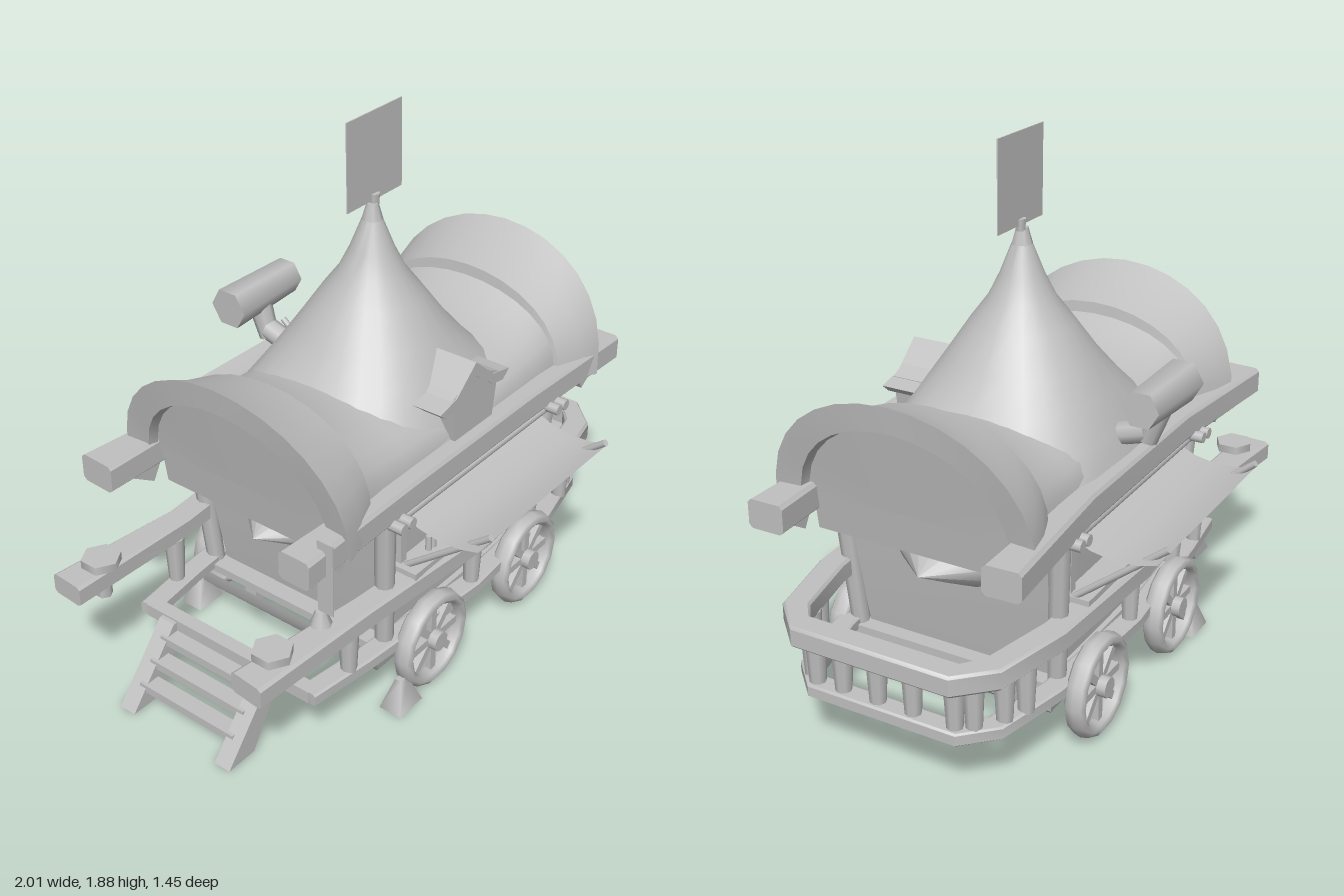
import * as THREE from 'three';
import { toCreasedNormals } from 'three/addons/utils/BufferGeometryUtils.js';

const V = (x, y, z) => new THREE.Vector3(x, y, z);
const CX = 0.075; // middle of the wagon along x

export function createModel() {
  const root = new THREE.Group();
  const grey = new THREE.MeshStandardMaterial({ color: 0xc0c0c0, side: THREE.DoubleSide });
  grey.name = 'clay grey';

  const add = (name, geo, x = 0, y = 0, z = 0, parent = root) => {
    const m = new THREE.Mesh(geo, grey);
    m.name = name;
    m.position.set(x, y, z);
    parent.add(m);
    return m;
  };
  const box = (name, w, h, d, x, y, z) => add(name, new THREE.BoxGeometry(w, h, d), x, y, z);
  // tapered round bar between two points
  const bar = (name, a, b, r0, r1 = r0, sides = 8) => {
    const d = b.clone().sub(a);
    const m = add(name, new THREE.CylinderGeometry(r1, r0, d.length(), sides));
    m.position.copy(a).addScaledVector(d, 0.5);
    m.quaternion.setFromUnitVectors(V(0, 1, 0), d.normalize());
  };
  // skin through cross-sections of equal point count
  const loft = (rings, { closed = true, caps = false, crease = 0.6 } = {}) => {
    const n = rings[0].length, pos = [];
    const tri = (a, b, c) => [a, b, c].forEach(p => pos.push(p.x, p.y, p.z));
    for (let i = 0; i < rings.length - 1; i++)
      for (let j = 0; j < (closed ? n : n - 1); j++) {
        const k = (j + 1) % n, a = rings[i], b = rings[i + 1];
        tri(a[j], b[j], b[k]);
        tri(a[j], b[k], a[k]);
      }
    if (caps) for (let j = 1; j < n - 1; j++) {
      const a = rings[0], b = rings.at(-1);
      tri(a[0], a[j], a[j + 1]);
      tri(b[0], b[j + 1], b[j]);
    }
    const g = new THREE.BufferGeometry();
    g.setAttribute('position', new THREE.Float32BufferAttribute(pos, 3));
    return toCreasedNormals(g, crease);
  };
  // mitred plank with worn (bevelled) edges along a flat path of [x, z, width]
  const plank = (path, y, h, w0 = 0.09) => loft(path.map(([x, z, w = w0], i) => {
    const p = path[Math.max(i - 1, 0)], q = path[Math.min(i + 1, path.length - 1)];
    const d = V(q[0] - p[0], 0, q[1] - p[1]).normalize();
    return [[-0.5, -0.38], [-0.5, 0.38], [-0.4, 0.5], [0.4, 0.5], [0.5, 0.38], [0.5, -0.38], [0.4, -0.5], [-0.4, -0.5]]
      .map(([u, v]) => V(x - d.z * w * u, y + h * v, z + d.x * w * u));
  }), { caps: true });

  // arched canvas roof with flared hoods: [offset from middle, lean at foot, top, half width, foot height]
  const arch = (s, [d, lean, top, hw, foot]) => Array.from({ length: 17 }, (_, i) => {
    const a = Math.PI * i / 16, sn = Math.sin(a);
    return V(CX + s * (d - lean * (1 - sn)), foot + (top - foot) * Math.pow(sn, 0.85), hw * Math.cos(a));
  });
  const half = [[0, 0, 1.03, 0.39, 0.84], [0.32, 0, 1.04, 0.39, 0.84], [0.45, 0, 1.07, 0.39, 0.84],
    [0.535, 0, 1.11, 0.395, 0.84], [0.54, 0, 1.15, 0.41, 0.82], [0.66, 0.03, 1.18, 0.45, 0.8],
    [0.785, 0.07, 1.24, 0.47, 0.78], [0.775, 0.07, 1.15, 0.38, 0.78], [0.73, 0.06, 1.14, 0.375, 0.78]];
  for (const s of [-1, 1]) {
    add('canvasRoof', loft(half.map(h => arch(s, h)), { closed: false, crease: 0.7 }));
    // gable just inside the hood rim, with a hanging valance below it
    const rim = arch(s, [0.73, 0.06, 1.14, 0.375, 0.82]);
    add('hoodGable', loft([rim, rim.map(() => V(CX + s * 0.68, 0.84, 0))], { closed: false }));
    add('hoodValance', loft([[0.675, 0.84], [0.655, 0.7]].map(([d, y]) =>
      [V(CX + s * d, y, 0.36), V(CX + s * d, y, -0.36)]), { closed: false }));
    // pointed swelling of the end wall
    const bulge = add('endBulge', new THREE.ConeGeometry(1, 1, 12, 1), CX + s * 0.55, 0.61, 0);
    bulge.scale.set(0.11, 0.18, 0.21);
    bulge.rotation.z = -s * Math.PI / 2;
  }

  // central tent flowing from a round peak to a wide, squarer eave: [y, x radius, z radius]
  const tent = [[1.52, 0.035, 0.035], [1.42, 0.075, 0.075], [1.34, 0.115, 0.115], [1.26, 0.175, 0.175],
    [1.145, 0.255, 0.25], [1.055, 0.325, 0.305], [0.95, 0.42, 0.365], [0.86, 0.52, 0.405]];
  add('roofPeak', loft(tent.map(([y, rx, rz]) => Array.from({ length: 24 }, (_, i) => {
    const a = i * Math.PI / 12, k = Math.min(1, Math.max(0, (1.2 - y) * 2.5));
    const f = v => Math.sign(v) * Math.pow(Math.abs(v), 1 - 0.5 * k);
    return V(CX + rx * f(Math.cos(a)), y, -0.01 + rz * f(Math.sin(a)));
  })), { crease: 0.8 }));
  add('peakCap', new THREE.CylinderGeometry(0.02, 0.037, 0.06, 8), CX, 1.545, -0.01);
  add('flagSocket', new THREE.CylinderGeometry(0.02, 0.018, 0.04, 6), 0.085, 1.585, -0.01);
  box('flag', 0.285, 0.305, 0.004, 0.085, 1.735, -0.01).rotation.z = 0.015;

  // cabin
  const section = (x0, x1, y, z) => [V(x0, y, z), V(x1, y, z), V(x1, y, -z), V(x0, y, -z)];
  add('cabin', loft([section(-0.33, 0.49, 0.24, 0.35), section(-0.37, 0.53, 0.5, 0.365),
    section(-0.41, 0.57, 0.86, 0.37)], { caps: true }));
  add('chassis', loft([section(-0.38, 0.53, 0.125, 0.37), section(-0.41, 0.57, 0.16, 0.395),
    section(-0.42, 0.58, 0.22, 0.4)]));
  box('floor', 0.94, 0.03, 0.74, CX, 0.225, 0);
  for (const z of [-0.2, 0.2]) box('floorBeam', 0.9, 0.07, 0.05, CX, 0.175, z);
  for (const x of [-0.185, 0.39]) bar('axle', V(x, 0.19, -0.45), V(x, 0.19, 0.45), 0.025);

  // long eave logs, thicker at the ends
  add('frontEaveLog', plank([[-0.82, 0.395, 0.12], [-0.3, 0.405, 0.085], [0.4, 0.405, 0.085], [0.94, 0.4, 0.13]], 0.82, 0.1));
  add('backEaveLog', plank([[-0.82, -0.435, 0.14], [-0.3, -0.41, 0.085], [0.4, -0.41, 0.085], [0.94, -0.435, 0.13]], 0.82, 0.1));

  // railings wrapping round the porch
  const side = [[-0.5, 0.4], [CX, 0.45], [0.6, 0.42], [0.87, 0.36], [0.955, 0.28]];
  const wrap = (a, b, k) => [a, ...side.map(([x, z]) => [x * k, z * k]),
    ...side.map(([x, z]) => [x * k, -z * k]).reverse(), b];
  add('upperRail', plank(wrap([-1, 0.35, 0.13], [-1, -0.43, 0.13], 1), 0.46, 0.075));
  add('lowerRail', plank(wrap([-0.72, 0.35], [-0.72, -0.35], 0.955), 0.24, 0.045, 0.075));
  box('lowerCrossRail', 0.05, 0.045, 0.72, -0.7, 0.24, 0);
  const baluster = (x, z, w = 0.036) =>
    add('baluster', new THREE.CylinderGeometry(w, w * 0.75, 0.18, 8), x, 0.345, z);
  for (const z of [-0.25, -0.1, 0.03, 0.16, 0.26]) baluster(0.91, z);
  for (const s of [-1, 1]) {
    for (const [x, z] of [[-0.55, 0.385], [0.72, 0.39], [0.8, 0.36], [0.88, 0.3]]) baluster(x, s * z);
    baluster(0.08, s * 0.43);
  }

  // lamps on the rail ends
  for (const z of [0.345, -0.4]) {
    add('lampDisc', new THREE.CylinderGeometry(0.068, 0.068, 0.03, 6), -0.87, 0.52, z);
    add('lampStem', new THREE.CylinderGeometry(0.028, 0.028, 0.15, 6), -0.87, 0.455, z);
  }

  // wheels, chocks, posts and awnings on both sides
  for (const s of [-1, 1]) {
    const wheelZ = s > 0 ? 0.45 : -0.467;
    for (const x of [-0.185, 0.39]) {
      const wheel = new THREE.Group();
      wheel.name = 'wheel';
      wheel.position.set(x, 0.185, wheelZ);
      root.add(wheel);
      add('tyre', new THREE.TorusGeometry(0.155, 0.024, 8, 14), 0, 0, 0, wheel).scale.z = 1.6;
      add('hub', new THREE.CylinderGeometry(0.036, 0.036, 0.09, 10).rotateX(Math.PI / 2), 0, 0, 0, wheel);
      for (let i = 0; i < 8; i++) {
        const spoke = new THREE.BoxGeometry(0.028, 0.13, 0.026).translate(0, 0.085, 0).rotateZ(i * Math.PI / 4);
        add('spoke', spoke, 0, 0, 0, wheel);
      }
    }
    const chock = new THREE.CylinderGeometry(0.025, 0.088, 0.11, 4).rotateY(Math.PI / 4);
    add('wheelChock', chock, -0.35, 0.06, wheelZ).scale.z = 0.7;

    for (const d of [-1, 1]) {
      bar('cornerPost', V(CX + d * 0.43, 0.24, s * 0.38), V(CX + d * 0.47, 0.79, s * 0.41), 0.032, 0.036);
      for (const e of [0.43, 0.475])
        bar('bolt', V(CX + d * e, 0.77, s * 0.42), V(CX + d * e, 0.77, s * 0.49), 0.02);
      bar('awningStrut', V(0.085 + d * 0.345, 0.49, s * 0.37), V(0.085 + d * 0.345, 0.765, s * 0.72), 0.012);
      // curved bracket under the eave log
      const bracket = [V(CX + d * 0.66, 0.78, s * 0.4), V(CX + d * 0.7, 0.71, s * 0.4), V(CX + d * 0.81, 0.78, s * 0.4)];
      add('eaveBracket', loft([-0.02, 0.02].map(o => bracket.map(p => p.clone().setZ(p.z + o))), { caps: true }));
    }
    const sag = [[0.4, 0.755], [0.48, 0.72], [0.56, 0.706], [0.64, 0.712], [0.705, 0.73]];
    add('awning', loft([-0.31, 0.48].map(x => sag.map(([z, y]) => V(x, y, s * z))), { closed: false }));
    bar('awningRod', V(-0.38, 0.755, s * 0.43), V(0.53, 0.755, s * 0.43), 0.014);
    box('counter', 0.74, 0.025, 0.12, CX, 0.505, s * 0.4);
    // window surround
    for (const x of [-0.26, 0.41]) box('windowJamb', 0.03, 0.24, 0.03, x, 0.63, s * 0.37);
  }
  for (const x of [-0.155, -0.13]) add('bottle', new THREE.CylinderGeometry(0.01, 0.012, 0.055, 8), x, 0.545, 0.41);

  // dormer on the front slope
  const slab = (pts, depth) => new THREE.ExtrudeGeometry(
    new THREE.Shape(pts.map(p => new THREE.Vector2(...p))), { depth, bevelEnabled: false });
  add('dormer', slab([[-0.015, 0.87], [0.2, 0.87], [0.225, 1.03], [0.085, 1.09], [-0.04, 1.03]], 0.15), 0, 0, 0.255);
  add('dormerRoof', slab([[-0.11, 1.015], [-0.02, 1.035], [0.085, 1.125], [0.19, 1.035], [0.285, 1.015],
    [0.25, 0.985], [0.19, 0.995], [0.085, 1.075], [-0.02, 0.995], [-0.075, 0.985]], 0.17), 0, 0, 0.24);

  // stove pipe at the back
  bar('pipeNeck', V(0.07, 0.92, -0.34), V(0.07, 0.96, -0.47), 0.04);
  bar('pipeRiser', V(0.07, 0.93, -0.47), V(0.07, 1.08, -0.52), 0.035, 0.045);
  bar('pipeHead', V(-0.09, 1.09, -0.515), V(0.23, 1.1, -0.515), 0.075, 0.065, 6);

  // hanging sign and lantern at the end of the front log
  box('hangingSign', 0.004, 0.26, 0.06, -0.74, 0.77, 0.45);
  add('lantern', new THREE.CylinderGeometry(0.018, 0.036, 0.05, 7), -0.74, 0.615, 0.43);

  // steps
  for (const z of [0.18, -0.25]) {
    const leg = slab([[-0.95, 0.005], [-0.83, 0.005], [-0.675, 0.255], [-0.74, 0.255]], 0.065);
    add('stepStringer', leg, 0, 0, z - 0.033);
  }
  [[-0.86, 0.075], [-0.805, 0.14], [-0.75, 0.205]].forEach(([x, y]) =>
    box('stepTread', 0.06, 0.03, 0.42, x, y, -0.035));

  return root;
}
